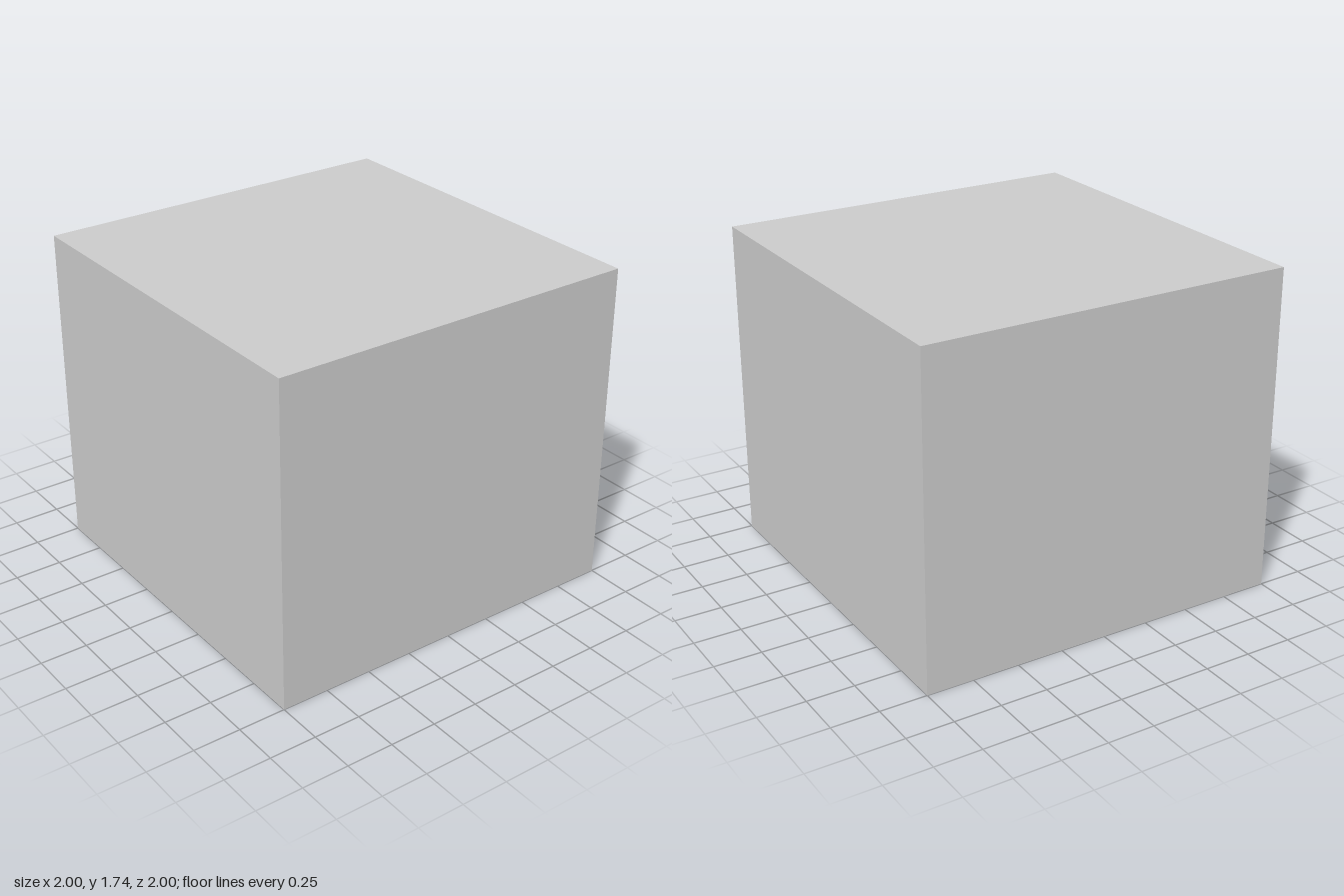
import * as THREE from 'three';

const HEIGHT = 1.74;
const RADIUS = 0.97, CENTRE_Y = 0.37; // round hollow, cut below its middle
const SIDES = 96, ROWS = 32;

// Mouth of the hollow as (x, z): a disc with a soft wedge-shaped notch at the back, mirrored in x
function mouthOutline() {
  const half = [[-0.27, 0.845], [-0.585, 0.7], [-0.808, 0.425], [-0.914, 0.07], [-0.874, -0.265], [-0.785, -0.4],
    [-0.68, -0.43], [-0.55, -0.355], [-0.385, -0.215], [-0.21, -0.06], [-0.09, 0.015]];
  const mirrored = half.map(([x, z]) => [-x, z]).reverse();
  const points = [[0, 0.885], ...half, [0, 0.035], ...mirrored].map(([x, z]) => new THREE.Vector3(x, 0, z));
  return new THREE.CatmullRomCurve3(points, true).getSpacedPoints(SIDES).slice(0, SIDES);
}

// Rings of the outline, widening and then closing to a dome; faces look inward
function hollowGeometry(outline) {
  const positions = [], index = [];
  const start = -Math.asin(CENTRE_Y / RADIUS);
  for (let j = 0; j <= ROWS; j++) {
    const angle = start + (Math.PI / 2 - start) * j / ROWS;
    const scale = Math.cos(angle) / Math.cos(start);
    const y = CENTRE_Y + RADIUS * Math.sin(angle);
    for (const p of outline) positions.push(p.x * scale, y, p.z * scale);
  }
  for (let j = 0; j < ROWS; j++) {
    for (let i = 0; i < SIDES; i++) {
      const a = j * SIDES + i, b = j * SIDES + (i + 1) % SIDES;
      index.push(a, b, a + SIDES, b, b + SIDES, a + SIDES);
    }
  }
  const geometry = new THREE.BufferGeometry();
  geometry.setAttribute('position', new THREE.Float32BufferAttribute(positions, 3));
  geometry.setIndex(index);
  geometry.computeVertexNormals();
  return geometry;
}

export function createModel() {
  const group = new THREE.Group();
  group.name = 'mouldBlock';
  const material = new THREE.MeshStandardMaterial({ color: 0xcccccc, flatShading: true });
  const add = (name, geometry) => {
    const mesh = new THREE.Mesh(geometry, material);
    mesh.name = name;
    group.add(mesh);
  };
  const outline = mouthOutline();

  // Four walls and top: a box without its underside
  const box = new THREE.BoxGeometry(2, HEIGHT, 2).translate(0, HEIGHT / 2, 0);
  box.setIndex([...box.index.array].filter((_, i) => i < 18 || i >= 24));
  box.clearGroups();
  add('outerBlock', box);

  // Underside with the mouth cut out
  const square = new THREE.Shape([[-1, -1], [1, -1], [1, 1], [-1, 1]].map(([x, z]) => new THREE.Vector2(x, z)));
  square.holes.push(new THREE.Path(outline.map(p => new THREE.Vector2(p.x, p.z))));
  add('underside', new THREE.ShapeGeometry(square).rotateX(Math.PI / 2));

  add('hollow', hollowGeometry(outline));
  return group;
}
